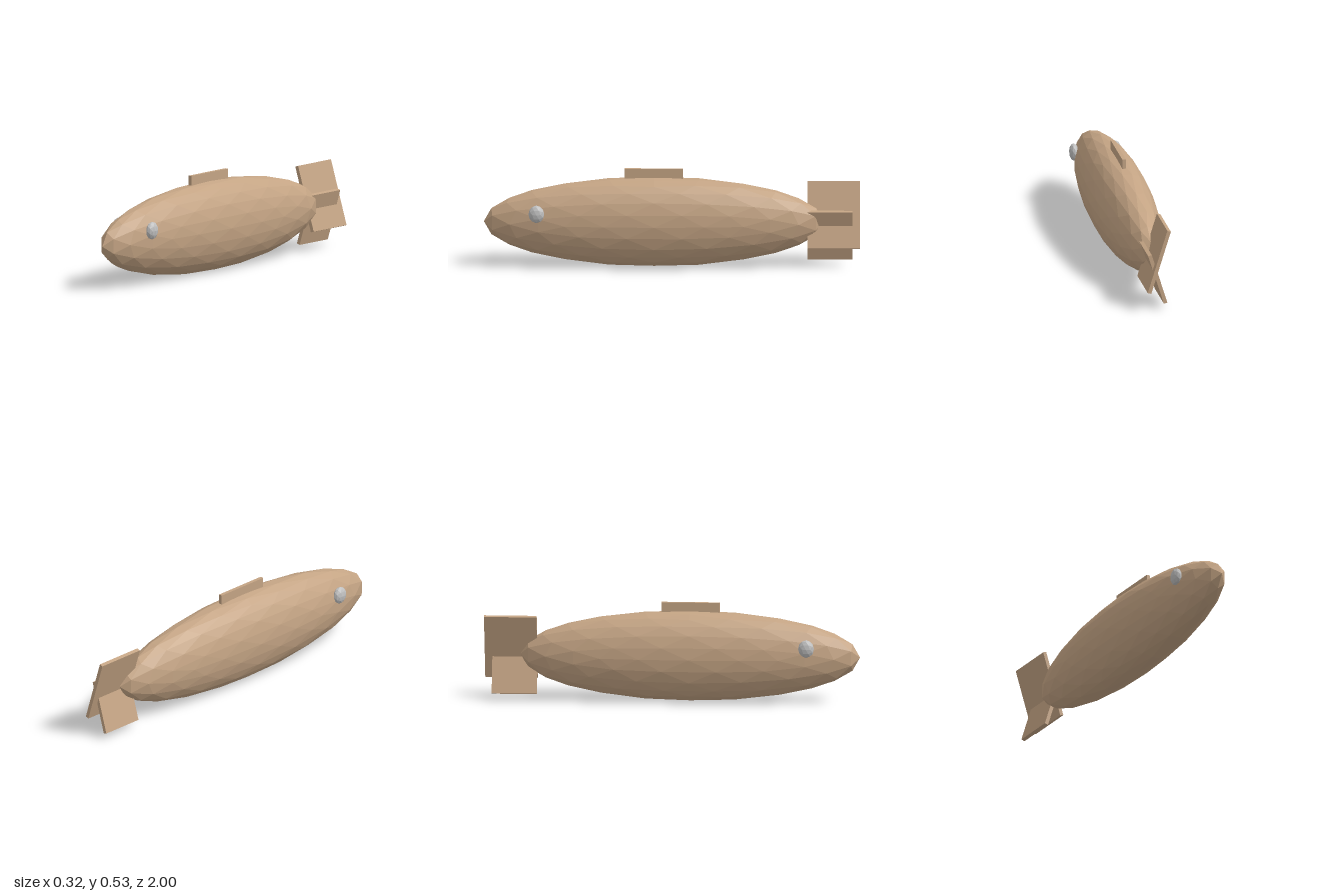
import * as THREE from 'three';

export function createModel() {
  const model = new THREE.Group();
  model.name = 'fish';

  const tan = new THREE.MeshStandardMaterial({ color: 0xc4a484, flatShading: true });
  tan.name = 'tan skin';
  const silver = new THREE.MeshStandardMaterial({ color: 0xc0c0c0, flatShading: true });
  silver.name = 'silver eye';

  function add(name, geometry, material, x, y, z, tilt = 0) {
    const mesh = new THREE.Mesh(geometry, material);
    mesh.name = name;
    mesh.position.set(x, y, z);
    mesh.rotation.z = tilt;
    model.add(mesh);
  }

  // Faceted ellipsoid
  const ellipsoid = (rx, ry, rz, detail) =>
    new THREE.IcosahedronGeometry(1, detail).scale(rx, ry, rz);

  // Body
  add('body', ellipsoid(0.158, 0.242, 0.905, 3), tan, 0, 0.243, 0.095);

  // Eyes, partly sunk into the sides of the head
  for (const side of [-1, 1]) {
    add(side > 0 ? 'leftEye' : 'rightEye', ellipsoid(0.025, 0.048, 0.042, 1), silver, side * 0.115, 0.306, 0.72);
  }

  // Back fin
  add('dorsalFin', new THREE.BoxGeometry(0.02, 0.1, 0.31), tan, 0, 0.48, 0.097);

  // Two crossed tail plates
  add('upperTailFin', new THREE.BoxGeometry(0.02, 0.36, 0.28), tan, 0, 0.28, -0.86, 0.3);
  add('lowerTailFin', new THREE.BoxGeometry(0.02, 0.287, 0.24), tan, 0, 0.17, -0.84, -0.3);

  return model;
}
